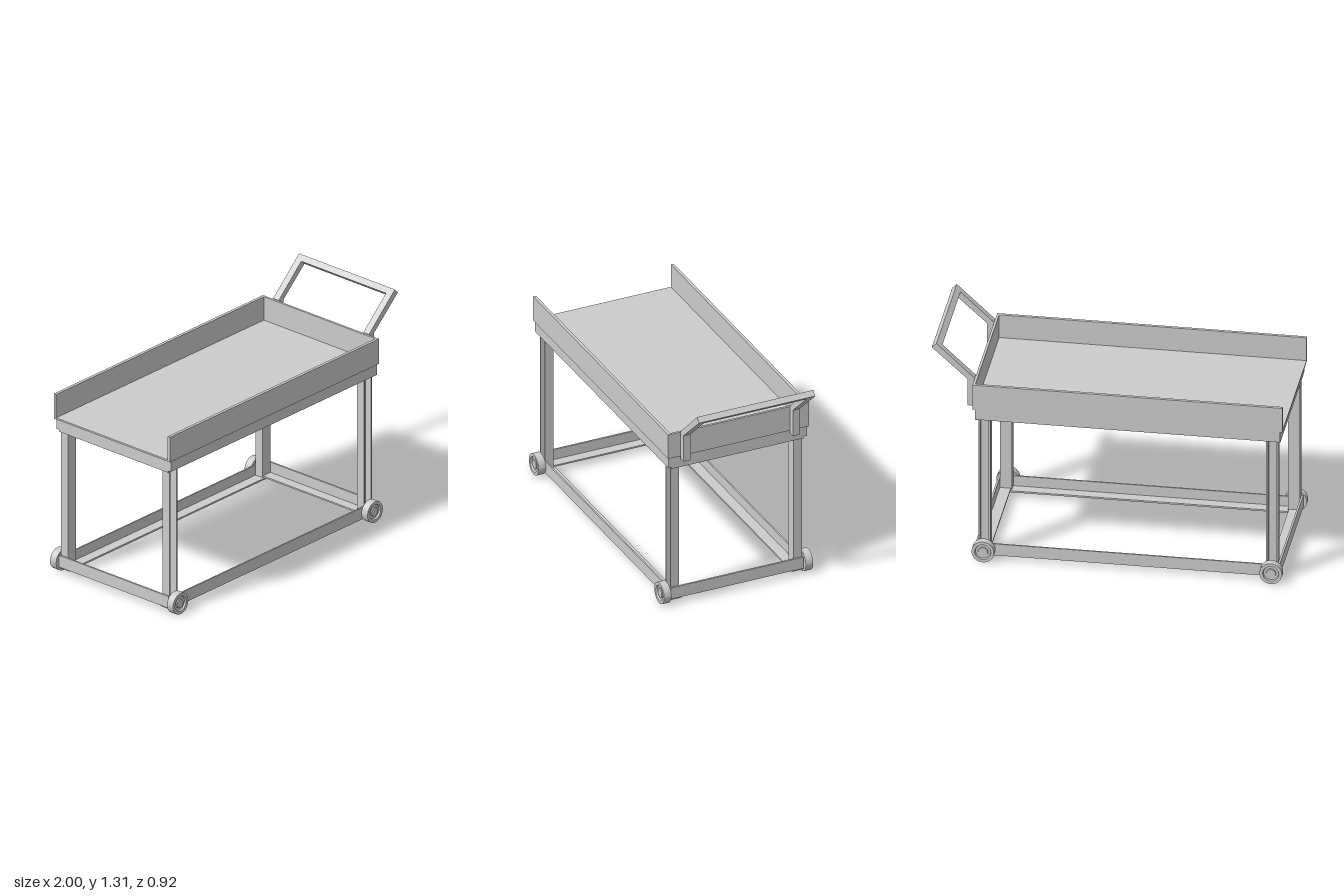
import * as THREE from 'three';
import { toCreasedNormals } from 'three/addons/utils/BufferGeometryUtils.js';

const material = new THREE.MeshStandardMaterial({ color: 0xcccccc });

function add(parent, name, geometry) {
  const mesh = new THREE.Mesh(geometry, material);
  mesh.name = name;
  parent.add(mesh);
  return mesh;
}

// Box given by its limits on each axis
function block(parent, name, x0, x1, y0, y1, z0, z1) {
  const g = new THREE.BoxGeometry(x1 - x0, y1 - y0, z1 - z0);
  g.translate((x0 + x1) / 2, (y0 + y1) / 2, (z0 + z1) / 2);
  return add(parent, name, g);
}

// Same box on the +z or -z side
function sideBlock(parent, name, s, x0, x1, y0, y1, z0, z1) {
  return block(parent, name, x0, x1, y0, y1, s > 0 ? z0 : -z1, s > 0 ? z1 : -z0);
}

// Outline in the x-y plane extruded from z0 to z1
function prism(parent, name, points, z0, z1) {
  const shape = new THREE.Shape(points.map(([x, y]) => new THREE.Vector2(x, y)));
  const g = new THREE.ExtrudeGeometry(shape, { depth: z1 - z0, bevelEnabled: false });
  g.translate(0, 0, z0);
  return add(parent, name, g);
}

function group(parent, name) {
  const g = new THREE.Group();
  g.name = name;
  parent.add(g);
  return g;
}

export function createModel() {
  const model = new THREE.Group();
  model.name = 'cart';
  const legX = [-0.938, 0.695];

  // Tray, open at the -x end
  const tray = group(model, 'tray');
  block(tray, 'trayFloor', -1, 0.757, 0.95, 0.96, -0.43, 0.43);
  block(tray, 'trayEndWall', 0.743, 0.757, 0.95, 1.104, -0.42, 0.42);
  for (const s of [1, -1]) sideBlock(tray, 'traySideWall', s, -1, 0.757, 0.95, 1.104, 0.418, 0.436);

  // Upper frame under the tray
  const upper = group(model, 'upperFrame');
  for (const s of [1, -1]) sideBlock(upper, 'upperSideRail', s, -0.985, 0.745, 0.884, 0.947, 0.41, 0.43);
  block(upper, 'upperEndRail', -0.984, -0.973, 0.872, 0.95, -0.41, 0.41);
  block(upper, 'upperEndRail', 0.732, 0.743, 0.872, 0.95, -0.41, 0.41);

  // Channel legs, open towards the outside
  const channel = new THREE.Shape();
  [[-0.034, 0.355], [0.034, 0.355], [0.034, 0.408], [0.024, 0.408], [0.024, 0.366],
    [-0.024, 0.366], [-0.024, 0.408], [-0.034, 0.408]]
    .forEach(([x, z], i) => (i ? channel.lineTo(x, z) : channel.moveTo(x, z)));
  const legGeo = new THREE.ExtrudeGeometry(channel, { depth: 0.915, bevelEnabled: false });
  legGeo.rotateX(-Math.PI / 2); // outline now opens towards -z

  // Wheel with tyre, recessed face and raised hub
  const profile = [[0, 0], [0.064, 0], [0.064, 0.045], [0.046, 0.045], [0.042, 0.035],
    [0.028, 0.035], [0.026, 0.042], [0, 0.042]].map(([r, y]) => new THREE.Vector2(r, y));
  const wheelGeo = toCreasedNormals(new THREE.LatheGeometry(profile, 40), 0.5);

  for (const s of [1, -1]) {
    for (const x of legX) {
      const leg = add(model, 'leg', legGeo);
      leg.position.set(x, 0.035, 0);
      if (s > 0) leg.rotation.y = Math.PI;

      const wheel = add(model, 'wheel', wheelGeo);
      wheel.rotation.x = s * Math.PI / 2;
      wheel.position.set(x, 0.064, s * 0.417);

      const axle = add(model, 'axle', new THREE.CylinderGeometry(0.016, 0.016, 0.065, 20));
      axle.rotation.x = Math.PI / 2;
      axle.position.set(x, 0.064, s * 0.392);
    }
  }

  // Lower frame of angle sections with inward flanges
  const lower = group(model, 'lowerFrame');
  for (const s of [1, -1]) {
    sideBlock(lower, 'lowerSideRail', s, -0.973, 0.732, 0.025, 0.097, 0.406, 0.415);
    sideBlock(lower, 'lowerSideFlange', s, -0.973, 0.732, 0.025, 0.035, 0.343, 0.406);
  }
  block(lower, 'lowerEndRail', -0.983, -0.972, 0.035, 0.107, -0.41, 0.41);
  block(lower, 'lowerEndFlange', -0.972, -0.91, 0.035, 0.044, -0.406, 0.406);
  block(lower, 'lowerEndRail', 0.729, 0.74, 0.035, 0.107, -0.41, 0.41);
  block(lower, 'lowerEndFlange', 0.667, 0.729, 0.035, 0.044, -0.406, 0.406);

  // Push handle: two bent arms and a cross bar
  const handle = group(model, 'handle');
  const arm = [[0.757, 0.934], [0.797, 0.934], [0.797, 1.1], [1, 1.284], [0.974, 1.31], [0.757, 1.108]];
  const bar = [[1, 1.284], [0.974, 1.31], [0.946, 1.284], [0.972, 1.259]];
  for (const s of [1, -1]) prism(handle, 'handleArm', arm, s > 0 ? 0.318 : -0.36, s > 0 ? 0.36 : -0.318);
  prism(handle, 'handleBar', bar, -0.318, 0.318);

  return model;
}
